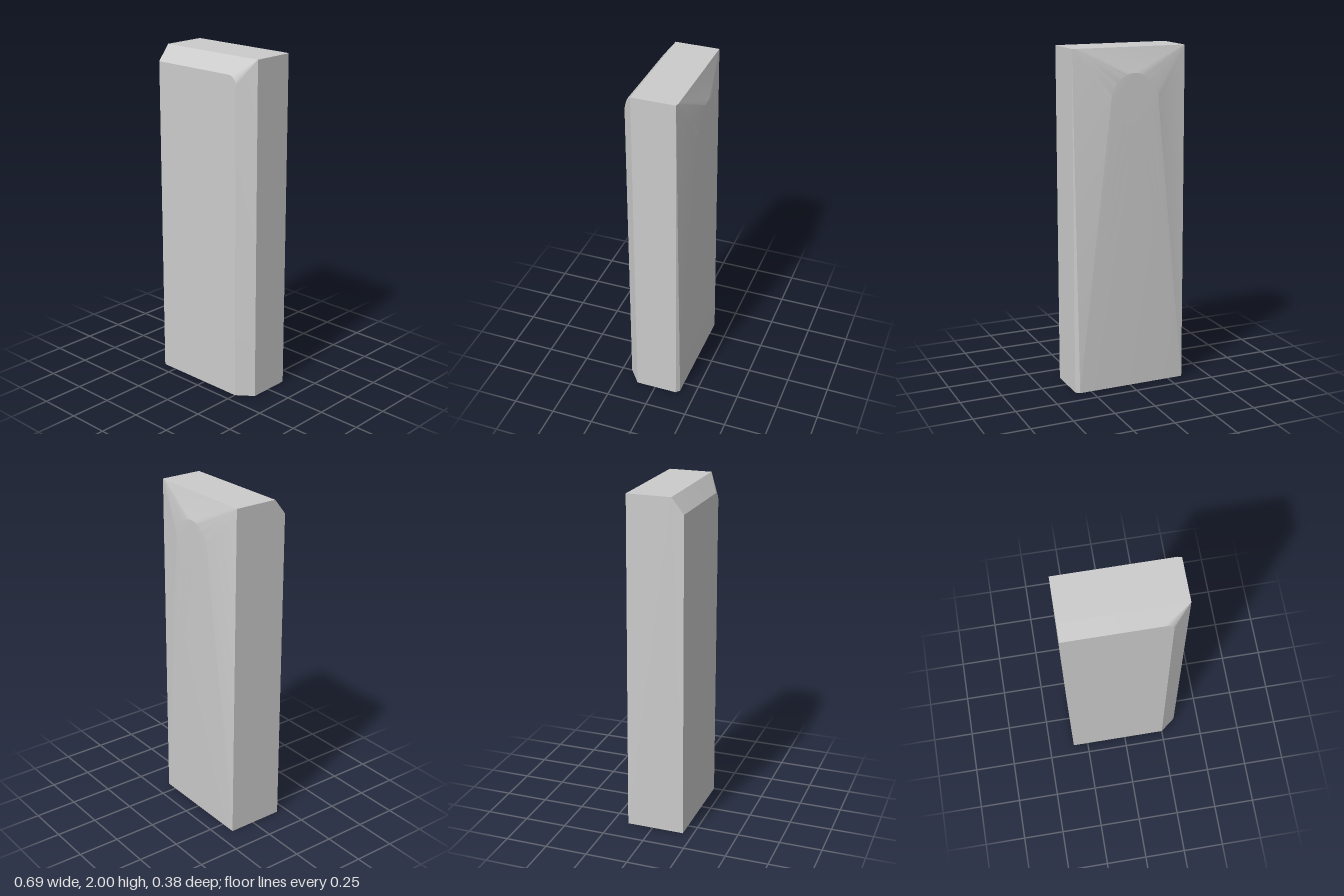
import * as THREE from 'three';
import { ConvexGeometry } from 'three/addons/geometries/ConvexGeometry.js';
import { toCreasedNormals } from 'three/addons/utils/BufferGeometryUtils.js';

const v = (x, y, z) => new THREE.Vector3(x, y, z);

export function createModel() {
  const group = new THREE.Group();
  const points = [];

  // Front face: bevelled along the top and left, with a rounded corner between
  points.push(v(-0.343, 0, 0.19), v(0.25, 0, 0.19), v(-0.343, 1.91, 0.19));
  for (let i = 0; i <= 8; i++) {
    const a = (i / 8) * Math.PI / 2;
    points.push(v(0.195 + 0.055 * Math.cos(a), 1.855 + 0.055 * Math.sin(a), 0.19));
  }

  // Outer edges of the body, from the base to the top
  for (const y of [0, 2]) {
    const back = y ? -0.14 : -0.155;
    points.push(
      v(-0.343, y, 0.119), v(0.343, y, 0.117), // ends of the front bevel
      v(0.343, y, -0.135), v(0.32, y, back), v(-0.343, y, back) // back, with a narrow chamfer
    );
  }

  // Raised round pad high on the back, blending out to the edges
  const segments = 40;
  for (let i = 0; i < segments; i++) {
    const a = (i / segments) * Math.PI * 2;
    points.push(v(-0.01 + 0.145 * Math.cos(a), 1.71 + 0.15 * Math.sin(a), -0.192));
  }

  const body = new THREE.Mesh(
    toCreasedNormals(new ConvexGeometry(points), 0.22),
    new THREE.MeshStandardMaterial({ color: 0xcccccc })
  );
  body.name = 'bevelledBody';
  group.add(body);
  return group;
}
